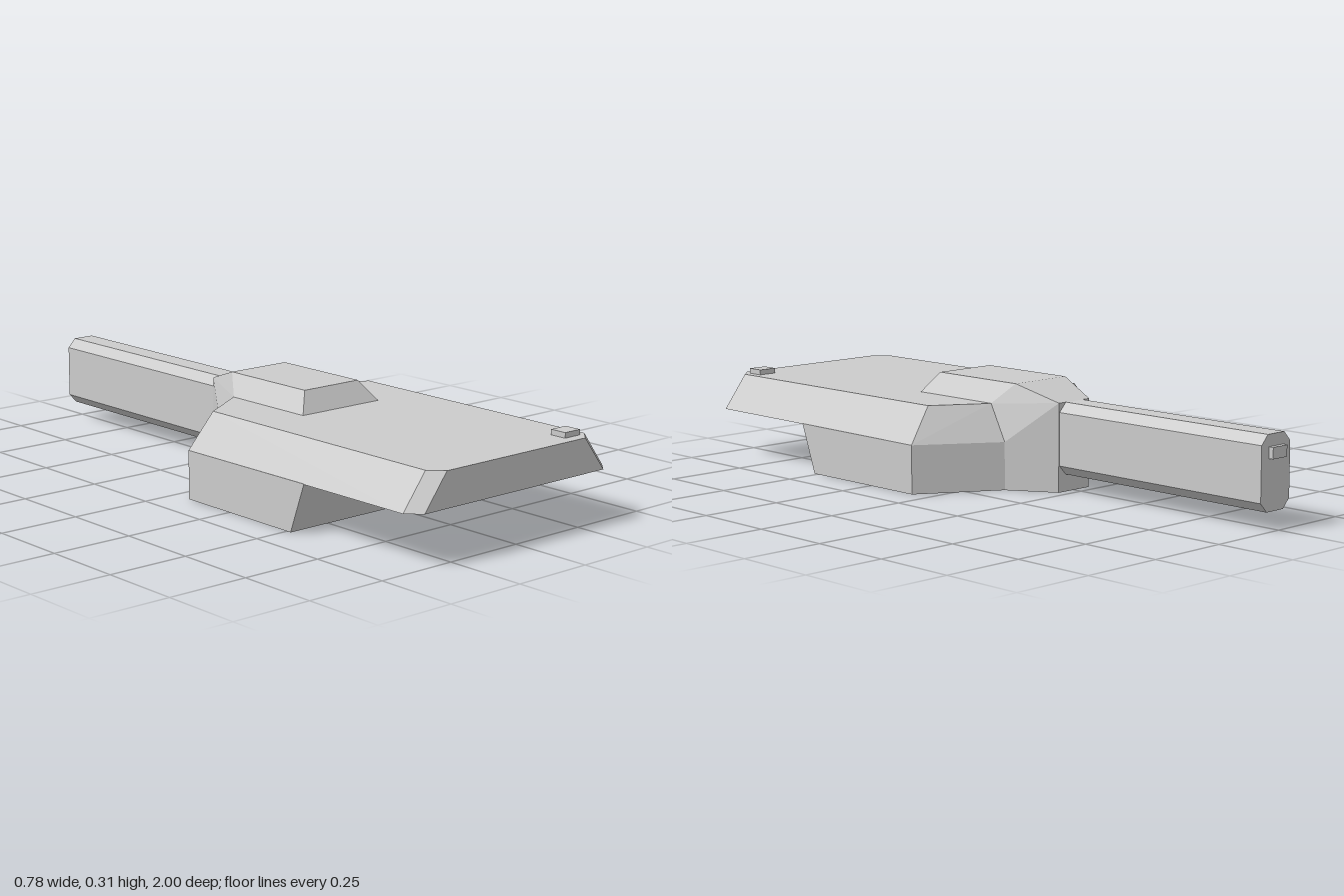
import * as THREE from 'three';
import { ConvexGeometry } from 'three/addons/geometries/ConvexGeometry.js';

const material = new THREE.MeshStandardMaterial({ color: 0xcccccc, flatShading: true });

function add(group, name, geometry) {
  const mesh = new THREE.Mesh(geometry, material);
  mesh.name = name;
  group.add(mesh);
  return mesh;
}

// Faceted solid from the corners of its +x half, mirrored across x = 0
function mirroredSolid(corners) {
  const points = [];
  for (const [x, y, z] of corners) {
    points.push(new THREE.Vector3(x, y, z), new THREE.Vector3(-x, y, z));
  }
  return new ConvexGeometry(points);
}

export function createModel() {
  const group = new THREE.Group();

  // Upper deck with sloped sides and clipped front corners
  add(group, 'upperDeck', mirroredSolid([
    [0.35, 0.15, 1], [0.39, 0.15, 0.96], [0.39, 0.147, 0.065], [0.15, 0.145, -0.08],
    [0.27, 0.254, 1], [0.31, 0.254, 0.96], [0.31, 0.254, 0.08], [0.15, 0.254, -0.02],
  ]));

  // Lower block with a raked front
  add(group, 'lowerBlock', mirroredSolid([
    [0.39, 0, 0.515], [0.39, 0, 0.065], [0.15, 0, -0.08],
    [0.39, 0.15, 0.57], [0.39, 0.147, 0.065], [0.15, 0.145, -0.08],
  ]));

  // Raised hump running back into the tapered neck
  add(group, 'humpAndNeck', mirroredSolid([
    [0.148, 0.254, 0.292], [0.105, 0.315, 0.25], [0.105, 0.315, -0.08], [0.148, 0.254, -0.02],
    [0.15, 0.145, -0.08], [0.15, 0, -0.08], [0.064, 0.268, -0.22], [0.064, 0, -0.22],
  ]));

  // Long bar with chamfered edges
  const half = [[0.035, 0.052], [0.061, 0.08], [0.061, 0.24], [0.035, 0.268]];
  const outline = [...half, ...half.map(([x, y]) => [-x, y]).reverse()];
  const profile = new THREE.Shape(outline.map(([x, y]) => new THREE.Vector2(x, y)));
  const bar = new THREE.ExtrudeGeometry(profile, { depth: 0.77, bevelEnabled: false });
  add(group, 'rearBar', bar).position.z = -0.985;

  // Small nub on the bar end and small block on the deck
  add(group, 'endNub', new THREE.BoxGeometry(0.06, 0.033, 0.03)).position.set(0, 0.217, -0.985);
  add(group, 'deckBlock', new THREE.BoxGeometry(0.06, 0.03, 0.053)).position.set(0.254, 0.255, 0.94);

  return group;
}
